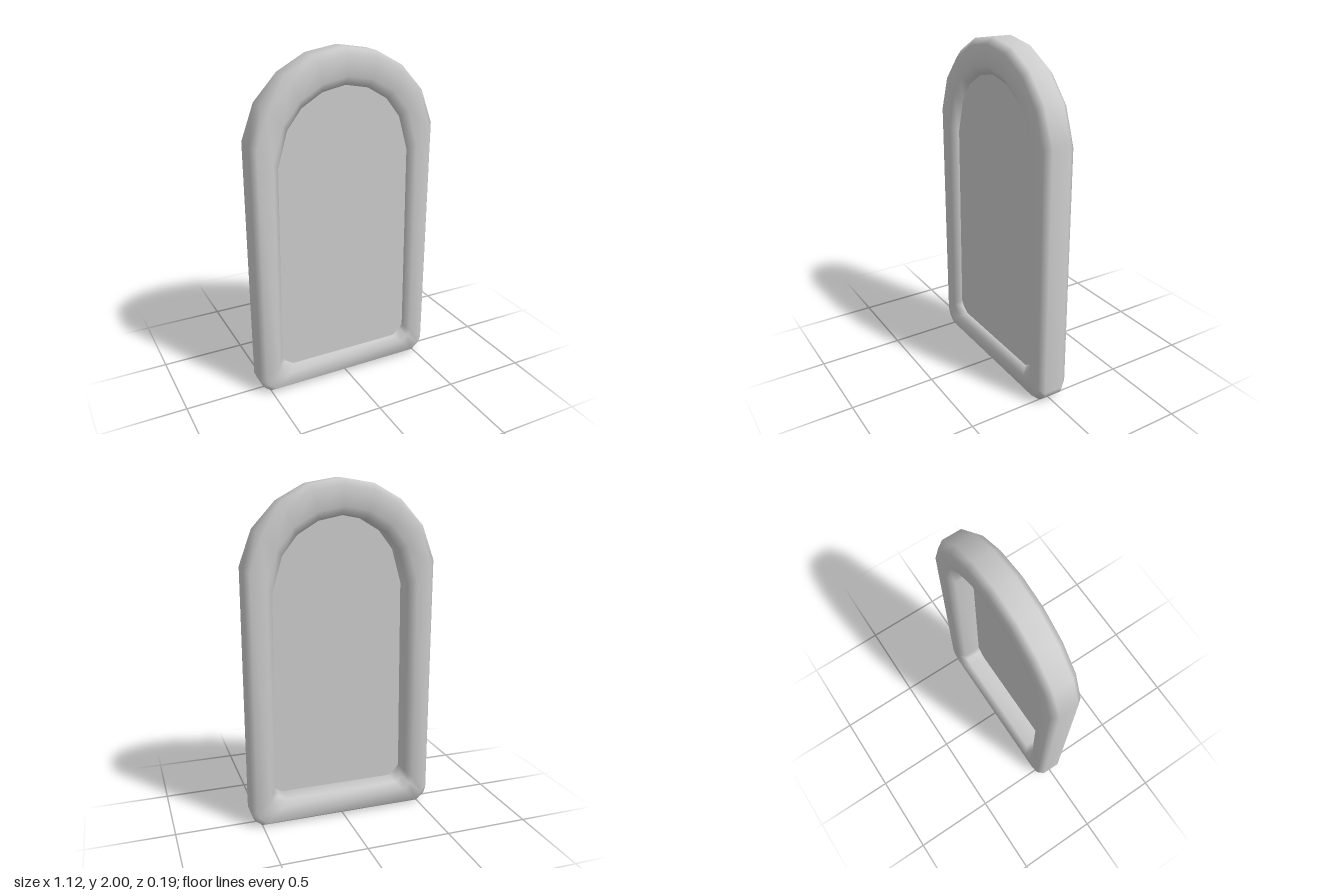
import * as THREE from 'three';

// Half outline of the frame, bottom to top: [outerX, outerY, innerX, innerY]
const half = [
  [0.5, 0.002, 0.35, 0.147],
  [0.547, 0.042, 0.397, 0.18],
  [0.562, 0.08, 0.417, 0.212],
  [0.561, 1.53, 0.403, 1.39],
  [0.487, 1.73, 0.345, 1.59],
  [0.35, 1.88, 0.26, 1.70],
  [0.185, 1.97, 0.138, 1.773],
  [0, 2, 0, 1.8],
];
// Closed counter-clockwise outline: right side, then its mirror
const outline = [
  ...half,
  ...half.slice(0, -1).reverse().map(([ox, oy, ix, iy]) => [-ox, oy, -ix, iy]),
];

// Eight-sided section: [share of the way from outer to inner edge, z]
const section = [
  [0, -0.057], [0, 0.057], [0.18, 0.093], [0.75, 0.093],
  [1, 0.057], [1, -0.057], [0.75, -0.093], [0.18, -0.093],
];

function frameGeometry() {
  const positions = [], index = [];
  const n = outline.length, m = section.length;
  for (const [ox, oy, ix, iy] of outline) {
    for (const [t, z] of section) {
      positions.push(ox + (ix - ox) * t, oy + (iy - oy) * t, z);
    }
  }
  for (let i = 0; i < n; i++) {
    for (let j = 0; j < m; j++) {
      const i2 = (i + 1) % n, j2 = (j + 1) % m;
      const a = i * m + j, b = i2 * m + j, c = i2 * m + j2, d = i * m + j2;
      index.push(a, b, c, a, c, d);
    }
  }
  const geometry = new THREE.BufferGeometry();
  geometry.setAttribute('position', new THREE.Float32BufferAttribute(positions, 3));
  geometry.setIndex(index);
  geometry.computeVertexNormals();
  return geometry;
}

export function createModel() {
  const group = new THREE.Group();
  group.name = 'archedWindow';

  // Rounded frame running around the arch
  const frame = new THREE.Mesh(
    frameGeometry(),
    new THREE.MeshStandardMaterial({ color: 0xcccccc })
  );
  frame.name = 'frame';
  group.add(frame);

  // Thin pane set towards the front, its edge just inside the frame
  const edge = outline.map(([ox, oy, ix, iy]) =>
    new THREE.Vector2(ix + (ox - ix) * 0.1, iy + (oy - iy) * 0.1));
  const pane = new THREE.Mesh(
    new THREE.ShapeGeometry(new THREE.Shape(edge)),
    new THREE.MeshStandardMaterial({ color: 0xcccccc, side: THREE.DoubleSide })
  );
  pane.name = 'pane';
  pane.position.z = 0.052;
  group.add(pane);

  return group;
}
